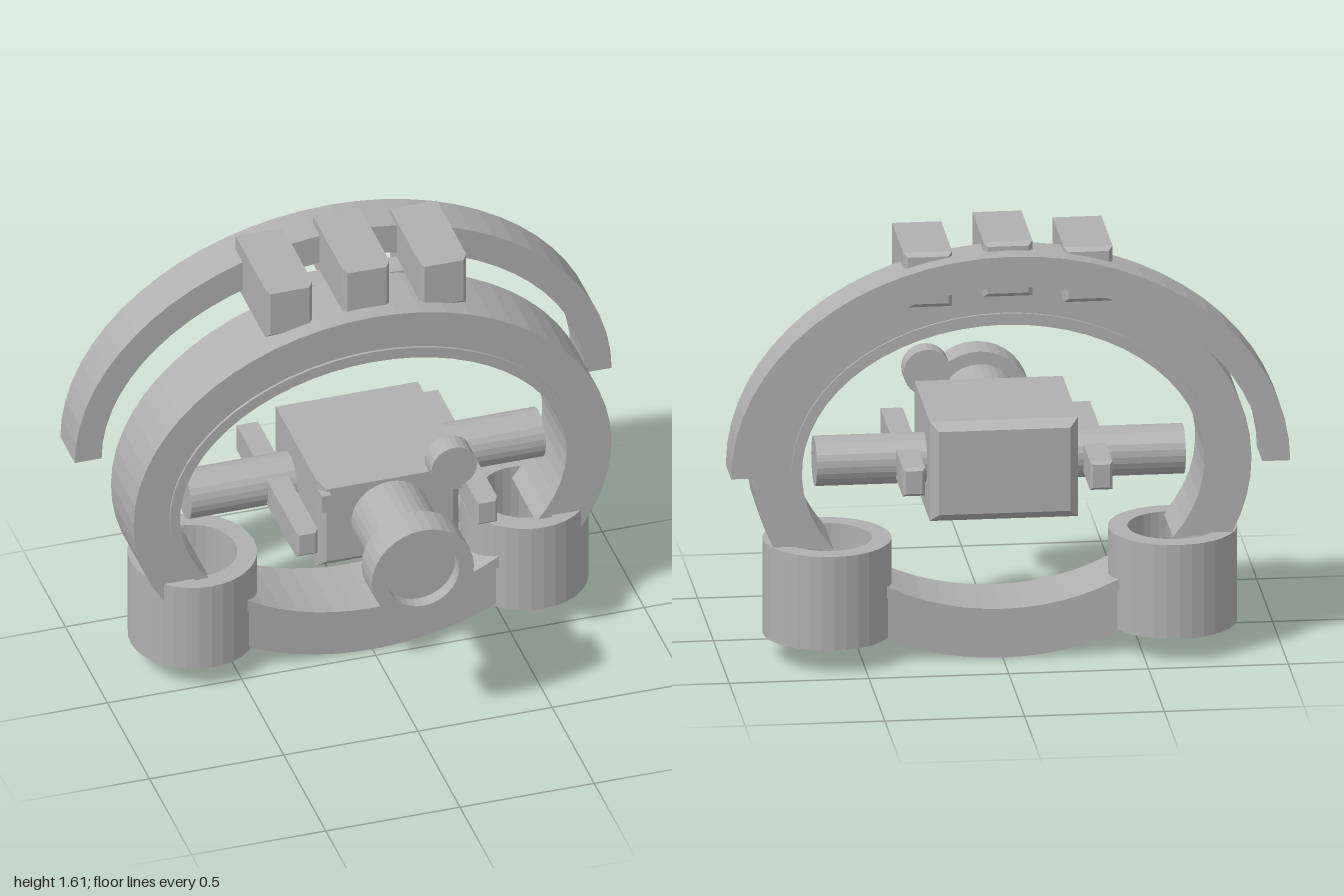
import * as THREE from 'three';

const CY = 0.72; // centre height of the oval frame

export function createModel() {
  const model = new THREE.Group();
  const grey = new THREE.MeshStandardMaterial({ color: 0xb0b0b0, flatShading: true });
  grey.name = 'light grey';

  const add = (name, geometry, x = 0, y = 0, z = 0) => {
    const mesh = new THREE.Mesh(geometry, grey);
    mesh.name = name;
    mesh.position.set(x, y, z);
    model.add(mesh);
    return mesh;
  };

  // Points along an ellipse between two angles
  const arc = (rx, ry, cy, a0, a1, n) =>
    Array.from({ length: n + 1 }, (_, i) => {
      const a = a0 + ((a1 - a0) * i) / n;
      return new THREE.Vector2(rx * Math.cos(a), cy + ry * Math.sin(a));
    });

  // Flat outline extruded from z0 (back) to z1 (front)
  const slab = (name, points, z0, z1) =>
    add(name, new THREE.ExtrudeGeometry(new THREE.Shape(points), {
      depth: z1 - z0, bevelEnabled: false,
    }), 0, 0, z0);

  // Box with chamfered edges
  const chamferBox = (name, w, h, d, c, x, y, z) => {
    const a = w / 2 - c, b = h / 2 - c;
    const s = new THREE.Shape([[-a, -b], [a, -b], [a, b], [-a, b]].map((p) => new THREE.Vector2(...p)));
    const g = new THREE.ExtrudeGeometry(s, {
      depth: d - 2 * c, bevelSize: c, bevelThickness: c, bevelSegments: 1,
    });
    g.translate(0, 0, c - d / 2);
    return add(name, g, x, y, z);
  };

  const lathe = (name, pts, seg, x, y, z) =>
    add(name, new THREE.LatheGeometry(pts.map((p) => new THREE.Vector2(...p)), seg), x, y, z);

  // Upper part of an oval band, cut where it meets the cups
  const upperBand = (name, ox, oy, ix, iy, yOut, z0, z1) => {
    const ao = Math.asin((yOut - CY) / oy), ai = Math.asin((0.435 - CY) / iy);
    const outer = arc(ox, oy, CY, ao, Math.PI - ao, 40);
    const inner = arc(ix, iy, CY, Math.PI - ai, ai, 40);
    const xe = outer[0].x;
    slab(name, [...outer, new THREE.Vector2(-xe, 0.435), ...inner, new THREE.Vector2(xe, 0.435)], z0, z1);
  };

  // Lower part of an oval band, between the cups
  const lowerBand = (name, ox, oy, ix, iy, z0, z1) => {
    const ao = Math.acos(0.468 / ox), ai = Math.acos(0.468 / ix);
    slab(name, [
      ...arc(ox, oy, CY, -Math.PI + ao, -ao, 14),
      ...arc(ix, iy, CY, -ai, -Math.PI + ai, 14),
    ], z0, z1);
  };

  // Oval frame with a slightly deeper inner lining
  upperBand('upperFrame', 0.89, 0.715, 0.755, 0.57, 0.37, -0.31, -0.04);
  upperBand('upperLining', 0.757, 0.572, 0.72, 0.53, 0.43, -0.32, -0.03);
  lowerBand('lowerFrame', 0.89, 0.715, 0.755, 0.57, -0.31, -0.04);
  lowerBand('lowerLining', 0.757, 0.572, 0.72, 0.53, -0.32, -0.03);

  // Rear half arch and its bracket
  slab('rearArch', [
    ...arc(1, 0.795, 0.785, 0, Math.PI, 32),
    ...arc(0.9, 0.68, 0.785, Math.PI, 0, 32),
  ], -0.56, -0.388);
  add('archBracket', new THREE.BoxGeometry(0.4, 0.09, 0.09), 0, 1.382, -0.348);

  // Blocks bridging frame and arch
  for (const [x, y] of [[-0.287, 1.478], [0, 1.508], [0.287, 1.478]]) {
    chamferBox('topBlock', 0.175, 0.205, 0.38, 0.015, x, y, -0.296);
  }

  // Open cups and side rails
  for (const side of [-1, 1]) {
    const cup = lathe('cup', [[0.16, 0.095], [0.23, 0.095], [0.23, 0.445], [0.16, 0.445], [0.16, 0.095]],
      32, side * 0.618, 0, -0.21);
    cup.scale.z = 1.02;
    chamferBox('sideRail', 0.08, 0.105, 0.725, 0.01, side * 0.335, 0.72, -0.107);
  }

  // Cross axle and central body
  add('axle', new THREE.CylinderGeometry(0.09, 0.09, 1.32, 24), 0, CY, -0.175).rotation.z = Math.PI / 2;
  chamferBox('body', 0.53, 0.37, 0.54, 0.03, 0, CY, -0.105);

  // Barrel with a flared, recessed end
  const barrel = lathe('barrel', [
    [0.143, 0.13], [0.143, 0.435], [0.19, 0.435], [0.19, 0.56],
    [0.135, 0.56], [0.135, 0.51], [0, 0.51],
  ], 32, 0, CY, 0);
  barrel.rotation.x = Math.PI / 2;

  // Round knob and small tabs on the body front
  add('knob', new THREE.CylinderGeometry(0.085, 0.085, 0.08, 24), 0.217, 0.927, 0.2).rotation.x = Math.PI / 2;
  for (const side of [-1, 1]) {
    add('tab', new THREE.BoxGeometry(0.035, 0.07, 0.05), side * 0.242, 0.83, 0.163);
  }
  return model;
}
